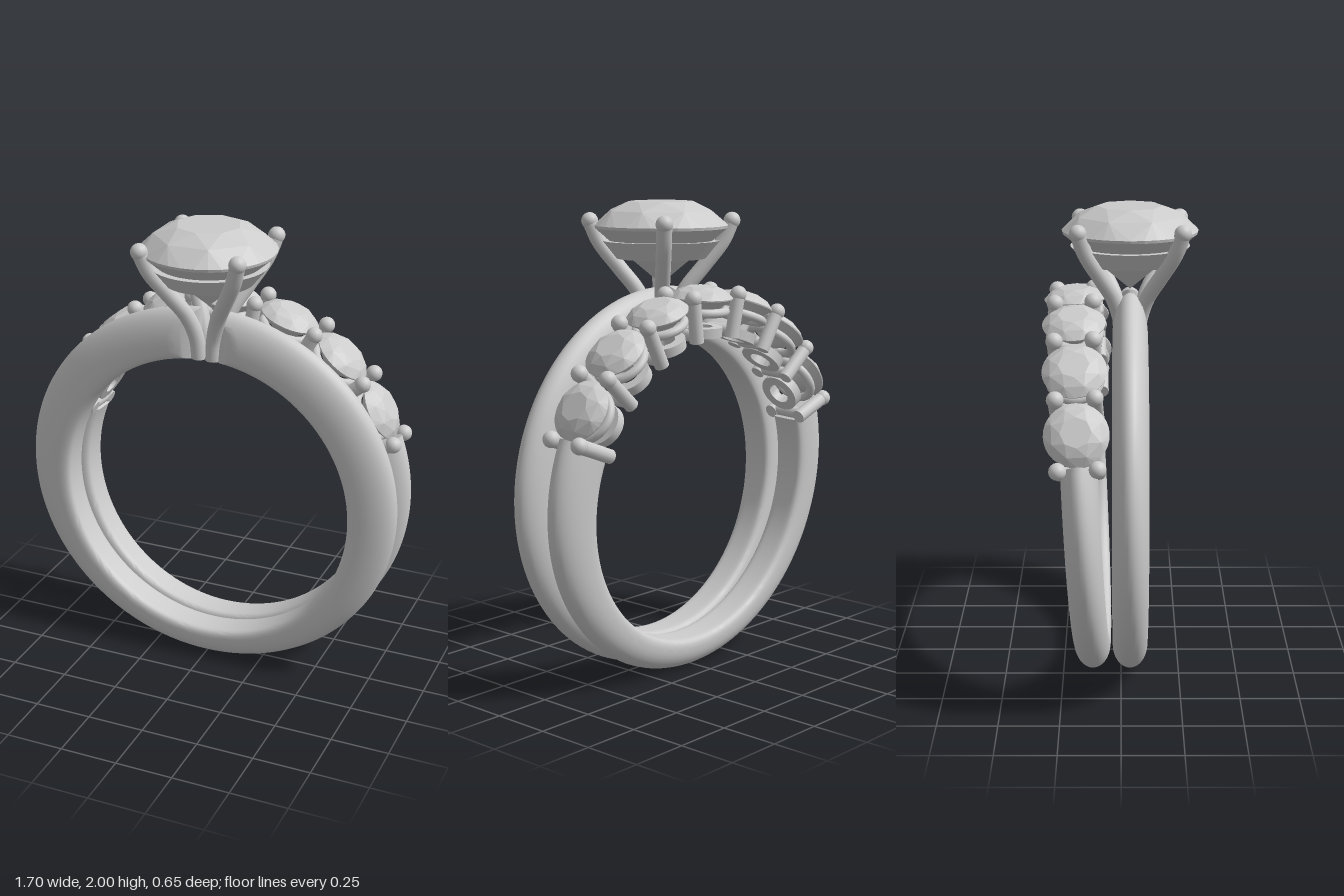
import * as THREE from 'three';
import { toCreasedNormals } from 'three/addons/utils/BufferGeometryUtils.js';
import { ConvexGeometry } from 'three/addons/geometries/ConvexGeometry.js';

const metal = new THREE.MeshStandardMaterial({ color: 0xcccccc });

function add(parent, name, geometry, x = 0, y = 0, z = 0) {
  const mesh = new THREE.Mesh(geometry, metal);
  mesh.name = name;
  mesh.position.set(x, y, z);
  parent.add(mesh);
  return mesh;
}

// Domed band swept round the finger; endAngle(v) shapes the two ends, v runs -1..1 across the width
function bandGeometry(endAngle, halfWidth = 0.074, steps = 120, cols = 16) {
  const section = [];
  for (let i = 0; i <= cols; i++) {
    const v = -Math.cos((Math.PI * i) / cols);
    section.push([0.3 + 0.7 * Math.sqrt(Math.max(0, 1 - v * v)), v]);
  }
  for (let i = cols; i >= 0; i--) {
    const v = -Math.cos((Math.PI * i) / cols);
    section.push([0.25 * (1 - Math.sqrt(Math.max(0, 1 - v ** 8))), v]);
  }
  const n = section.length, pos = [], index = [];
  for (let k = 0; k <= steps; k++) {
    for (const [u, v] of section) {
      const e = endAngle(v);
      const a = e + (2 * Math.PI - 2 * e) * (k / steps);
      // blend between the inner circle and the slightly wider outer oval
      const rx = 0.65 + 0.2 * u, ry = 0.645 + 0.175 * u, cy = 0.78 + 0.04 * u;
      pos.push(rx * Math.sin(a), cy + ry * Math.cos(a), v * halfWidth);
    }
  }
  for (let k = 0; k < steps; k++) {
    for (let i = 0; i < n; i++) {
      const a = k * n + i, b = k * n + ((i + 1) % n);
      index.push(a, b, b + n, a, b + n, a + n);
    }
  }
  // end caps
  for (let i = 0; i < cols; i++) {
    const j = n - 1 - i, s = steps * n;
    index.push(s + i, s + i + 1, s + j - 1, s + i, s + j - 1, s + j);
    index.push(i, j - 1, i + 1, i, j, j - 1);
  }
  const g = new THREE.BufferGeometry();
  g.setAttribute('position', new THREE.Float32BufferAttribute(pos, 3));
  g.setIndex(index);
  return toCreasedNormals(g, 0.6);
}

// Faceted round stone with its girdle at y = 0
function gemGeometry(r, crown, pavilion) {
  const pts = [];
  const circle = (count, radius, y, turn = 0) => {
    for (let i = 0; i < count; i++) {
      const a = ((i + turn) / count) * Math.PI * 2;
      pts.push(new THREE.Vector3(radius * Math.sin(a), y, radius * Math.cos(a)));
    }
  };
  circle(8, r * 0.48, crown);
  circle(8, r * 0.8, crown * 0.62, 0.5);
  circle(32, r, 0);
  circle(32, r * 0.99, -crown * 0.12);
  circle(8, r * 0.5, -pavilion * 0.52);
  pts.push(new THREE.Vector3(0, -pavilion, 0));
  return new ConvexGeometry(pts);
}

// Closed ring turned from an outer and inner wall
function collar(bottom, top, y0, y1, wall) {
  const p = [[bottom, y0], [top, y1], [top - wall, y1], [bottom - wall, y0], [bottom, y0]];
  return toCreasedNormals(new THREE.LatheGeometry(p.map(([x, y]) => new THREE.Vector2(x, y)), 40), 0.6);
}

function solitaireRing() {
  const ring = new THREE.Group();
  ring.name = 'solitaireRing';
  // band ends are rounded towards the head
  add(ring, 'solitaireBand', bandGeometry((v) => 0.04 + 0.14 * v * v));
  add(ring, 'centreStone', gemGeometry(0.285, 0.1, 0.25), 0, 1.9, 0);
  add(ring, 'basketCollar', collar(0.19, 0.25, 1.76, 1.835, 0.03));
  // four curved claws
  const path = [[0.032, 1.43], [0.04, 1.52], [0.07, 1.62], [0.125, 1.72], [0.185, 1.83], [0.212, 1.915]];
  for (const sx of [-1, 1]) {
    for (const sz of [-1, 1]) {
      const curve = new THREE.CatmullRomCurve3(path.map(([d, y]) => new THREE.Vector3(sx * d, y, sz * d)));
      add(ring, 'claw', new THREE.TubeGeometry(curve, 28, 0.033, 14));
      add(ring, 'clawTip', new THREE.SphereGeometry(0.036, 16, 12), sx * 0.213, 1.918, sz * 0.213);
      add(ring, 'clawFoot', new THREE.CylinderGeometry(0.033, 0.033, 0.012, 14), sx * 0.032, 1.432, sz * 0.032);
    }
  }
  ring.position.z = 0.038;
  return ring;
}

function stoneBand() {
  const ring = new THREE.Group();
  ring.name = 'stoneBand';
  add(ring, 'stoneBandShank', bandGeometry(() => 1.2));
  const pitch = 0.344;
  // a group turned so that its y axis points outward from the finger
  const radial = (name, angle) => {
    const g = new THREE.Group();
    g.name = name;
    g.position.y = 0.8;
    g.rotation.z = -angle;
    ring.add(g);
    return g;
  };
  // seven stones, each over a wide wire and a small base collar
  for (let i = -3; i <= 3; i++) {
    const seat = radial('stoneSetting', i * pitch);
    add(seat, 'sideStone', gemGeometry(0.13, 0.045, 0.105), 0, 0.812, 0);
    add(seat, 'seatWire', new THREE.TorusGeometry(0.1, 0.019, 10, 32).rotateX(Math.PI / 2), 0, 0.755, 0);
    add(seat, 'baseCollar', collar(0.09, 0.092, 0.648, 0.69, 0.042));
  }
  // paired prongs shared between neighbouring stones
  for (let i = -4; i < 4; i++) {
    const pair = radial('prongPair', (i + 0.5) * pitch);
    for (const s of [-1, 1]) {
      add(pair, 'prong', new THREE.CylinderGeometry(0.03, 0.03, 0.185, 14), 0, 0.742, s * 0.078);
      add(pair, 'prongTip', new THREE.SphereGeometry(0.035, 16, 12), 0, 0.835, s * 0.078);
    }
    add(pair, 'prongBridge', new THREE.CylinderGeometry(0.026, 0.026, 0.156, 12).rotateX(Math.PI / 2), 0, 0.676, 0);
  }
  // leans back, away from the solitaire
  ring.position.z = -0.113;
  ring.rotation.x = -0.05;
  return ring;
}

export function createModel() {
  const model = new THREE.Group();
  model.name = 'ringSet';
  model.add(solitaireRing(), stoneBand());
  return model;
}
